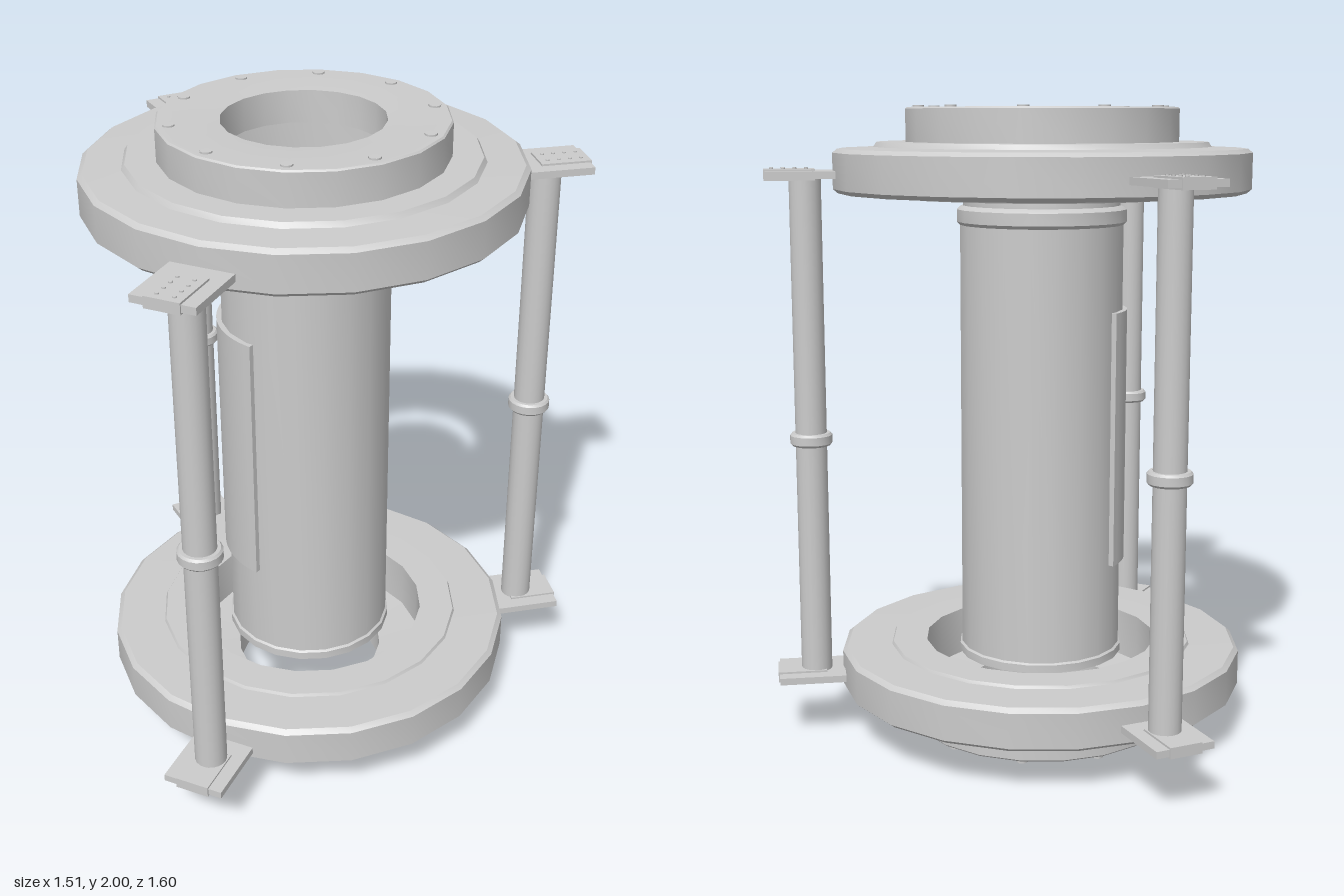
import * as THREE from 'three';
import { toCreasedNormals } from 'three/addons/utils/BufferGeometryUtils.js';

const grey = new THREE.MeshStandardMaterial({ color: 0xcccccc });

function add(parent, name, geometry, x = 0, y = 0, z = 0) {
  const mesh = new THREE.Mesh(geometry, grey);
  mesh.name = name;
  mesh.position.set(x, y, z);
  parent.add(mesh);
  return mesh;
}

function lathe(points, sides) {
  const profile = points.map(([r, y]) => new THREE.Vector2(r, y));
  return toCreasedNormals(new THREE.LatheGeometry(profile, sides), 0.4);
}

// Stepped end ring with a bolted flange; the flange faces down
function makeEndRing(name, boltStart) {
  const ring = new THREE.Group();
  ring.name = name;
  add(ring, 'flangedDisc', lathe([
    [0.24, 0.02], [0.32, 0.015], [0.42, 0.015], [0.425, 0.02], [0.425, 0.12],
    [0.515, 0.12], [0.525, 0.135], [0.57, 0.137], [0.635, 0.14], [0.65, 0.152],
    [0.65, 0.262], [0.635, 0.275], [0.49, 0.277], [0.485, 0.286],
    [0.375, 0.286], [0.375, 0.13], [0.24, 0.12], [0.24, 0.02],
  ], 20));
  const length = 0.03 - boltStart;
  for (let i = 0; i < 10; i++) {
    const a = (i / 10) * Math.PI * 2;
    add(ring, 'flangeBolt', new THREE.CylinderGeometry(0.018, 0.018, length, 10),
      0.385 * Math.cos(a), boltStart + length / 2, 0.385 * Math.sin(a));
  }
  return ring;
}

// Upright rod with a middle collar and a bracket at both ends; outward is +x
function makeRod() {
  const rod = new THREE.Group();
  rod.name = 'supportRod';
  add(rod, 'rodShaft', new THREE.CylinderGeometry(0.049, 0.049, 1.58, 20), 0, 0.995, 0);
  add(rod, 'rodCollar', lathe([
    [0.045, 0.95], [0.06, 0.95], [0.066, 0.957], [0.066, 0.983], [0.06, 0.99], [0.045, 0.99],
  ], 20));
  for (const [y, side] of [[0.2, -1], [1.793, 1]]) {
    add(rod, 'bracketPlate', new THREE.BoxGeometry(0.21, 0.022, 0.19), 0.015, y, 0);
    add(rod, 'bracketBlock', new THREE.BoxGeometry(0.155, 0.034, 0.105), 0.047, y, 0);
    for (let i = 0; i < 4; i++) {
      for (const z of [-0.025, 0.025]) {
        add(rod, 'bracketStud', new THREE.CylinderGeometry(0.006, 0.006, 0.006, 8),
          -0.005 + i * 0.035, y + side * 0.018, z);
      }
    }
  }
  return rod;
}

// Curved cover that wraps part of the tube, facing -x
function makeCover() {
  const half = 0.72;
  const shape = new THREE.Shape();
  shape.absarc(0, 0, 0.272, Math.PI - half, Math.PI + half, false);
  shape.absarc(0, 0, 0.25, Math.PI + half, Math.PI - half, true);
  shape.closePath();
  const geometry = new THREE.ExtrudeGeometry(shape, { depth: 0.81, bevelEnabled: false, curveSegments: 16 });
  geometry.rotateX(-Math.PI / 2);
  return toCreasedNormals(geometry, 0.4);
}

export function createModel() {
  const model = new THREE.Group();
  model.name = 'cageCylinder';
  const body = new THREE.Group();
  body.name = 'body';
  body.position.set(-0.105, 0, 0.042);
  model.add(body);

  // End rings, the upper one turned over
  body.add(makeEndRing('lowerRing', 0));
  const upper = makeEndRing('upperRing', 0.01);
  upper.rotation.x = Math.PI;
  upper.position.y = 2.01;
  body.add(upper);

  // Central tube with collars and a domed top that has a sunken centre
  add(body, 'centralTube', lathe([
    [0, 0.24], [0.25, 0.24], [0.265, 0.245], [0.265, 0.27], [0.258, 0.275],
    [0.258, 1.635], [0.268, 1.645], [0.268, 1.683], [0.26, 1.69], [0.248, 1.695],
    [0.248, 1.745], [0.237, 1.775], [0.216, 1.805], [0.185, 1.832], [0.145, 1.848],
    [0.145, 1.825], [0, 1.825],
  ], 20));
  add(body, 'capBar', new THREE.BoxGeometry(0.284, 0.023, 0.052), 0, 1.8365, -0.005);
  add(body, 'tubeCover', makeCover(), 0, 0.56, 0);

  // Three rods around the rings: distance, position angle and facing angle
  for (const [r, place, facing] of [[0.735, 0, 0], [0.745, 125, 126], [0.74, -109.5, -105.5]]) {
    const rod = makeRod();
    const a = THREE.MathUtils.degToRad(place);
    rod.position.set(r * Math.cos(a), 0, r * Math.sin(a));
    rod.rotation.y = -THREE.MathUtils.degToRad(facing);
    body.add(rod);
  }
  return model;
}
